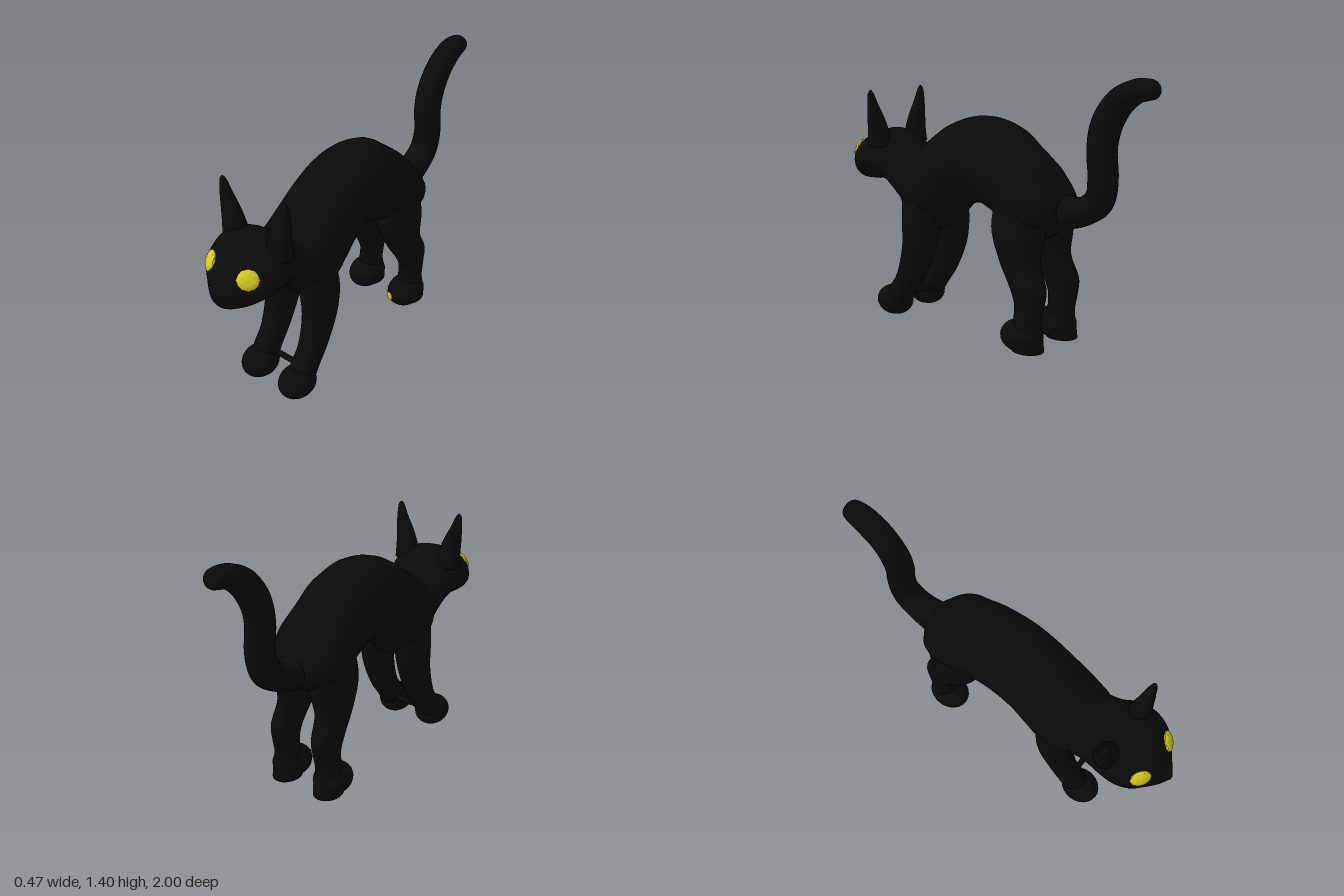
import * as THREE from 'three';

const black = new THREE.MeshStandardMaterial({ color: 0x0a0a0a });
black.name = 'black fur';
const yellow = new THREE.MeshStandardMaterial({ color: 0xd0c820 });
yellow.name = 'yellow';

// Smooth closed skin through elliptical rings.
// Each row: x, y, z, half width, half depth, tilt (0 = upright ring, PI/2 = level ring)
function loft(rows, steps = 5, sides = 24) {
  const curve = (pts) => new THREE.CatmullRomCurve3(pts, false, 'catmullrom', 0.5);
  const path = curve(rows.map((r) => new THREE.Vector3(r[0], r[1], r[2])));
  const size = curve(rows.map((r) => new THREE.Vector3(r[3], r[4], r[5])));
  const n = (rows.length - 1) * steps;
  const pos = [], idx = [];
  for (let i = 0; i <= n; i++) {
    const p = path.getPoint(i / n), s = size.getPoint(i / n);
    for (let j = 0; j < sides; j++) {
      const a = (j / sides) * Math.PI * 2;
      const b = Math.sin(a) * s.y;
      pos.push(p.x + Math.cos(a) * s.x, p.y + b * Math.cos(s.z), p.z + b * Math.sin(s.z));
    }
  }
  const first = path.getPoint(0), last = path.getPoint(1);
  pos.push(first.x, first.y, first.z, last.x, last.y, last.z);
  const tan = path.getTangent(0);
  const forward = tan.z * Math.cos(rows[0][5]) - tan.y * Math.sin(rows[0][5]) > 0;
  const tri = (a, b, c) => (forward ? idx.push(a, b, c) : idx.push(a, c, b));
  const c0 = (n + 1) * sides;
  for (let j = 0; j < sides; j++) {
    const k = (j + 1) % sides;
    for (let i = 0; i < n; i++) {
      const a = i * sides + j, b = i * sides + k;
      tri(a, b, b + sides);
      tri(a, b + sides, a + sides);
    }
    tri(c0, k, j);
    tri(c0 + 1, n * sides + j, n * sides + k);
  }
  const g = new THREE.BufferGeometry();
  g.setAttribute('position', new THREE.Float32BufferAttribute(pos, 3));
  g.setIndex(idx);
  g.computeVertexNormals();
  return g;
}

// Rows given as z, top, bottom, half width
const upright = (rows) => rows.map(([z, t, b, w]) => [0, (t + b) / 2, z, w, (t - b) / 2, 0]);
// Rows given as x, y, z, half width, half depth
const level = (rows, side) =>
  rows.map(([x, y, z, w, d]) => [x * side, y, z, w, d, Math.PI / 2]);

// Rounded paw with a flattened sole
function pawGeometry(rx, ry, rz) {
  const g = new THREE.SphereGeometry(1, 24, 16).scale(rx, ry, rz);
  const p = g.attributes.position;
  for (let i = 0; i < p.count; i++) p.setY(i, Math.max(p.getY(i), -ry * 0.85));
  g.computeVertexNormals();
  return g;
}

export function createModel() {
  const cat = new THREE.Group();
  cat.name = 'cat';
  const add = (name, geometry, material = black, x = 0, y = 0, z = 0) => {
    const m = new THREE.Mesh(geometry, material);
    m.name = name;
    m.position.set(x, y, z);
    cat.add(m);
    return m;
  };

  // Arched torso
  add('torso', loft(upright([
    [0.6, 0.93, 0.7, 0.1], [0.51, 0.935, 0.59, 0.18], [0.43, 0.98, 0.5, 0.205],
    [0.33, 1.05, 0.51, 0.21], [0.25, 1.1, 0.57, 0.205], [0.14, 1.142, 0.67, 0.2],
    [0, 1.16, 0.7, 0.2], [-0.16, 1.125, 0.63, 0.2], [-0.27, 1.045, 0.56, 0.205],
    [-0.36, 0.97, 0.56, 0.205], [-0.44, 0.87, 0.61, 0.175], [-0.5, 0.8, 0.65, 0.1],
  ])));

  // Head and neck
  add('head', loft(upright([
    [1.0, 0.855, 0.825, 0.008], [0.965, 0.885, 0.755, 0.06], [0.92, 0.94, 0.73, 0.115],
    [0.87, 0.978, 0.732, 0.17], [0.8, 1.015, 0.737, 0.205], [0.72, 1.035, 0.745, 0.213],
    [0.64, 1.015, 0.725, 0.2], [0.58, 0.97, 0.67, 0.185], [0.51, 0.935, 0.61, 0.18],
    [0.42, 0.94, 0.6, 0.17],
  ])));

  // Upswept tail
  const tail = [
    [0, 0.73, -0.4, 0.1, 0.1, 0], [-0.01, 0.725, -0.5, 0.09, 0.085, 0.05],
    [-0.015, 0.745, -0.6, 0.08, 0.072, 0.4], [-0.015, 0.81, -0.685, 0.075, 0.075, 0.9],
    [-0.01, 0.92, -0.708, 0.072, 0.075, 1.5], [-0.01, 1.06, -0.698, 0.072, 0.075, 1.58],
    [-0.008, 1.18, -0.722, 0.07, 0.078, 1.2], [-0.005, 1.285, -0.79, 0.068, 0.072, 0.8],
    [-0.005, 1.345, -0.88, 0.066, 0.058, 0.35], [-0.005, 1.358, -0.95, 0.058, 0.05, 0.05],
    [-0.005, 1.355, -0.985, 0.044, 0.038, 0], [-0.005, 1.35, -1.0, 0.012, 0.012, 0],
  ];
  add('tail', loft(tail));

  for (const side of [1, -1]) {
    const label = side > 0 ? 'left' : 'right';

    // Pointed ears
    add(label + 'Ear', loft(level([
      [0.135, 0.95, 0.69, 0.07, 0.065], [0.143, 1.03, 0.693, 0.063, 0.05],
      [0.157, 1.1, 0.694, 0.053, 0.039], [0.178, 1.18, 0.695, 0.033, 0.026],
      [0.189, 1.24, 0.697, 0.018, 0.015], [0.19, 1.26, 0.698, 0.005, 0.004],
    ], side)));

    // Faceted eyes set in the slope of the face
    const gem = new THREE.IcosahedronGeometry(1, 1).scale(0.056, 0.052, 0.02).toNonIndexed();
    gem.computeVertexNormals();
    add(label + 'Eye', gem, yellow, 0.118 * side, 0.92, 0.885)
      .rotation.set(-0.45, 0.66 * side, 0, 'YXZ');

    // Front legs and paws
    add(label + 'FrontLeg', loft(level([
      [0.1, 0.78, 0.42, 0.08, 0.1], [0.115, 0.6, 0.397, 0.095, 0.115],
      [0.125, 0.42, 0.405, 0.081, 0.106], [0.128, 0.25, 0.465, 0.07, 0.092],
      [0.128, 0.15, 0.535, 0.07, 0.09], [0.128, 0.06, 0.58, 0.07, 0.07],
    ], side)));
    add(label + 'FrontPaw', pawGeometry(0.093, 0.085, 0.11), black, 0.128 * side, 0.078, 0.6);

    // Hind legs with bent hocks, and paws
    add(label + 'HindLeg', loft(level([
      [0.1, 0.82, -0.28, 0.08, 0.12], [0.112, 0.63, -0.29, 0.095, 0.16],
      [0.125, 0.47, -0.31, 0.08, 0.12], [0.135, 0.35, -0.37, 0.07, 0.108],
      [0.138, 0.26, -0.385, 0.062, 0.085], [0.14, 0.17, -0.375, 0.065, 0.075],
      [0.14, 0.08, -0.375, 0.08, 0.082], [0.14, 0.02, -0.38, 0.075, 0.088],
    ], side)));
    add(label + 'HindPaw', pawGeometry(0.097, 0.085, 0.118), black, 0.14 * side, 0.09, -0.34);
  }

  // Small bar joining the front paws
  add('pawLink', new THREE.CylinderGeometry(0.016, 0.016, 0.16, 10).rotateZ(Math.PI / 2),
    black, 0, 0.115, 0.53);

  // Yellow spot on the toe of the left hind paw
  add('toeSpot', new THREE.SphereGeometry(1, 12, 8).scale(0.026, 0.024, 0.006),
    yellow, 0.105, 0.09, -0.231).rotation.y = -0.35;

  return cat;
}
